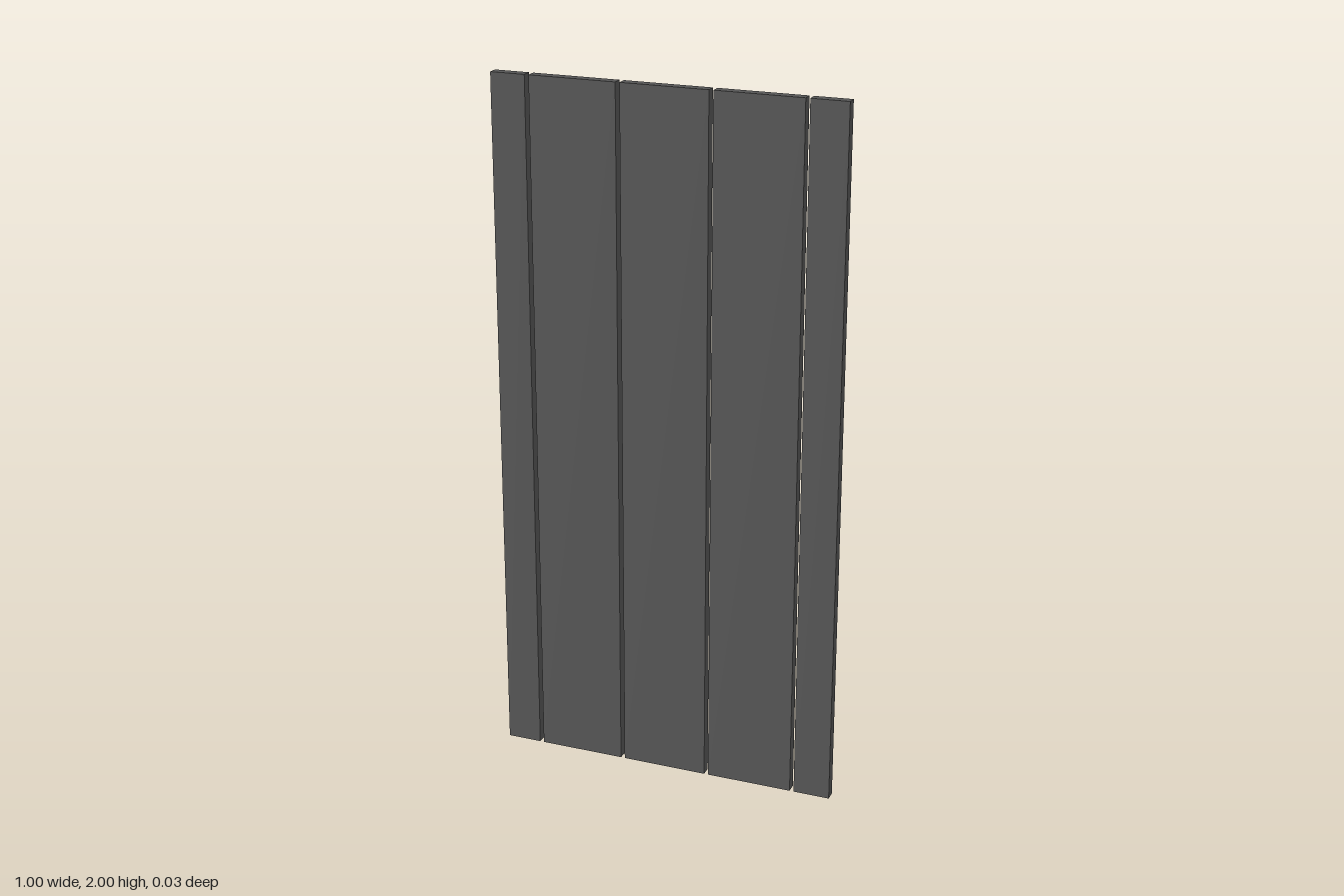
import * as THREE from 'three';

const HEIGHT = 2;
const THICKNESS = 0.03;

// Left and right edges of each upright board, with narrow open gaps between
const BOARDS = [
  [-0.5, -0.4],
  [-0.388, -0.139],
  [-0.127, 0.122],
  [0.134, 0.383],
  [0.395, 0.5],
];

export function createModel() {
  const model = new THREE.Group();
  model.name = 'boardPanel';

  const darkGrey = new THREE.MeshStandardMaterial({ color: 0x555555 });
  darkGrey.name = 'dark grey';

  BOARDS.forEach(([x0, x1], i) => {
    const board = new THREE.Mesh(new THREE.BoxGeometry(x1 - x0, HEIGHT, THICKNESS), darkGrey);
    board.name = `board${i + 1}`;
    board.position.set((x0 + x1) / 2, HEIGHT / 2, 0);
    model.add(board);
  });

  return model;
}
